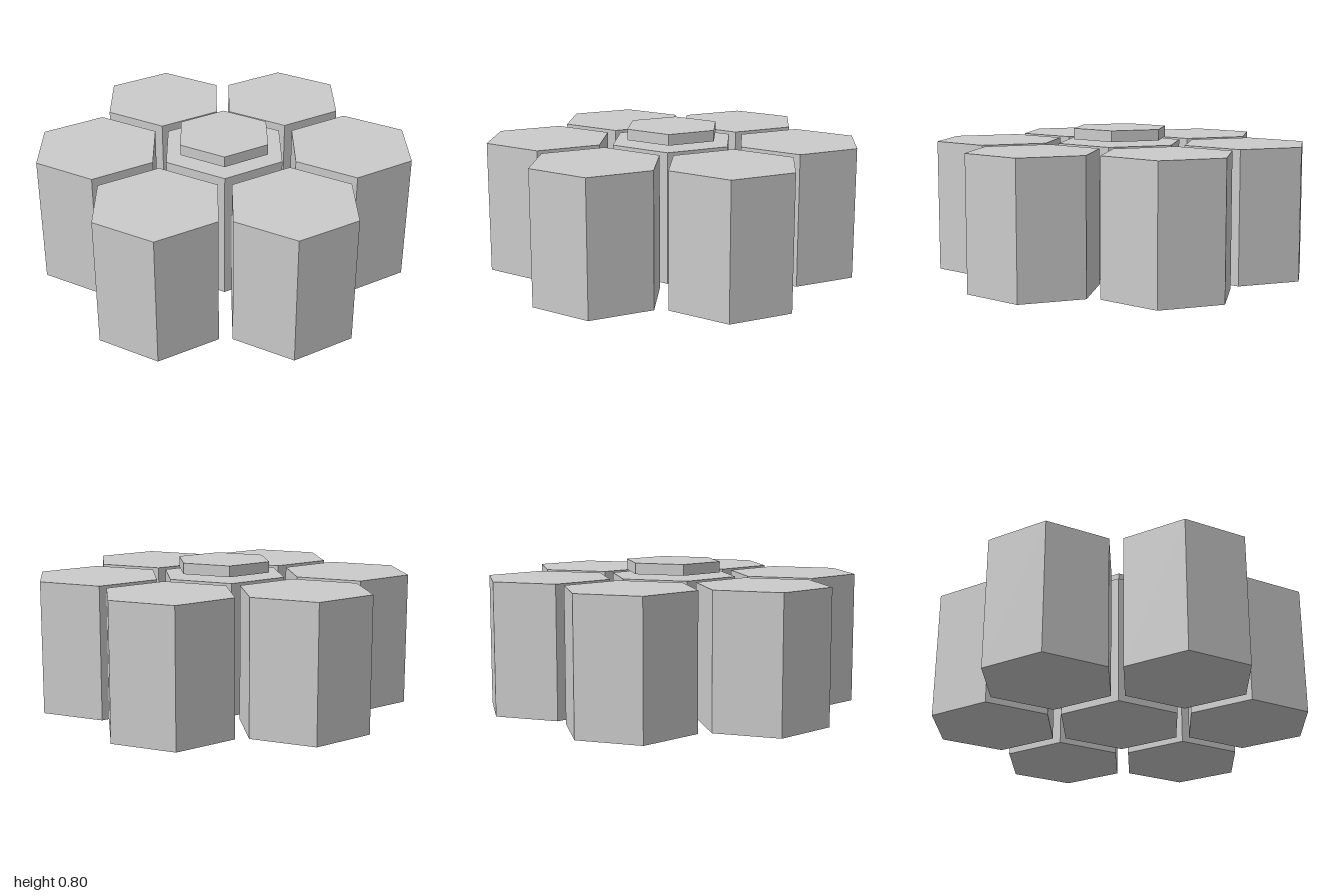
import * as THREE from 'three';

export function createModel() {
  const group = new THREE.Group();
  const material = new THREE.MeshStandardMaterial({ color: 0xcccccc, flatShading: true });
  const spacing = 0.69;
  const height = 0.72;

  // Hexagonal prism with corners pointing along z
  function addPrism(name, radius, h, x, y, z) {
    const mesh = new THREE.Mesh(new THREE.CylinderGeometry(radius, radius, h, 6), material);
    mesh.name = name;
    mesh.position.set(x, y + h / 2, z);
    group.add(mesh);
  }

  // Central column with a smaller plate hovering just above it
  addPrism('centreColumn', 0.357, height, 0, 0, 0);
  addPrism('topPlate', 0.27, 0.06, 0, 0.74, 0);

  // Ring of six columns around the centre
  for (let i = 0; i < 6; i++) {
    const a = (i * Math.PI) / 3;
    addPrism('outerColumn' + (i + 1), 0.357, height, spacing * Math.cos(a), 0, spacing * Math.sin(a));
  }
  return group;
}
